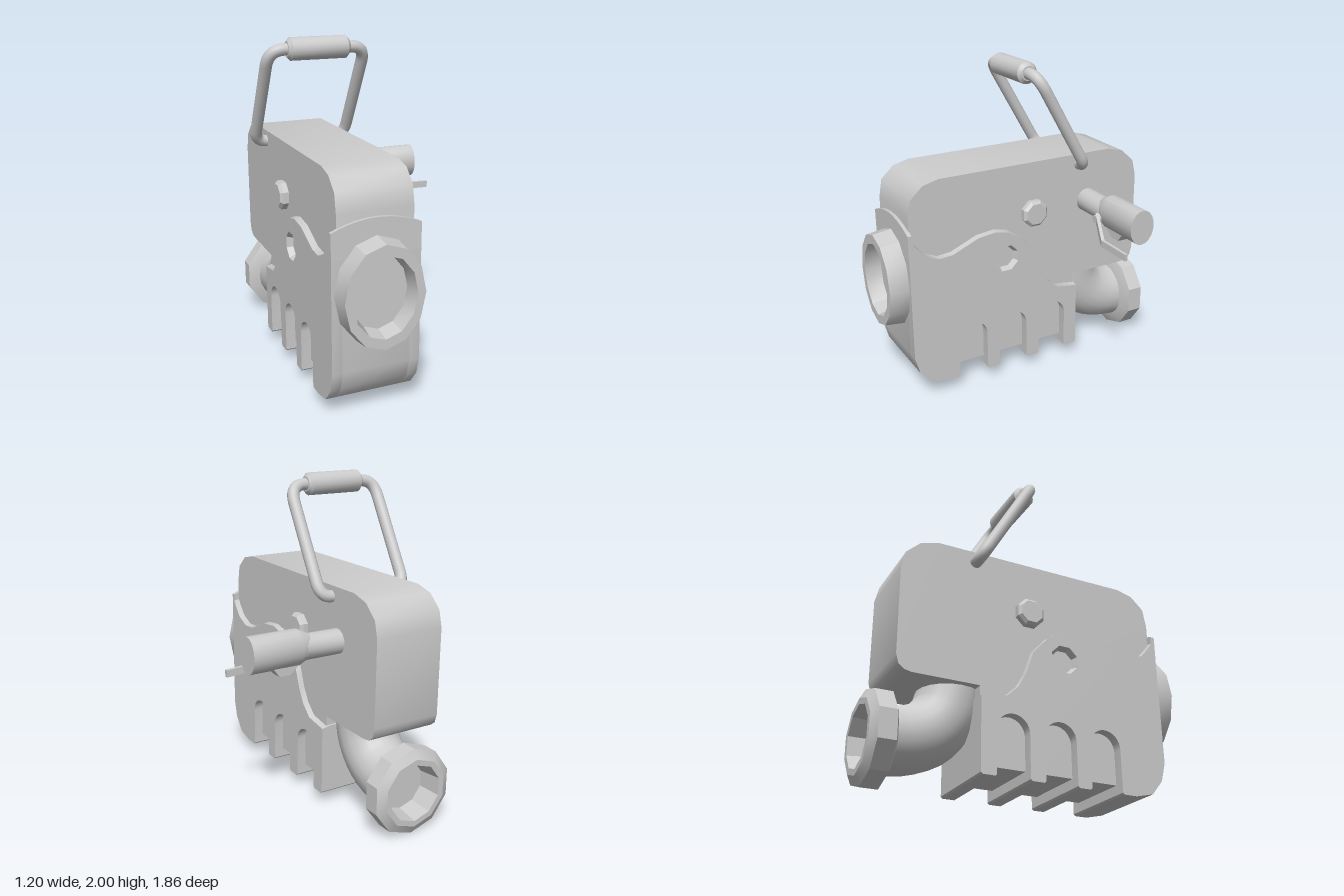
import * as THREE from 'three';
import { toCreasedNormals } from 'three/addons/utils/BufferGeometryUtils.js';

const CX = -0.27; // centre plane of the housing
const material = new THREE.MeshStandardMaterial({ color: 0xcccccc, side: THREE.DoubleSide });
const V = (x, y, z) => new THREE.Vector3(x, y, z);
const pts = (list) => list.map(([a, b]) => new THREE.Vector2(a, b));

// Extrude a (z, y) outline sideways between two x positions
function sideExtrude(shape, x0, x1) {
  return new THREE.ExtrudeGeometry(shape, { depth: x1 - x0, bevelEnabled: false, curveSegments: 8 })
    .rotateY(-Math.PI / 2).translate(x1, 0, 0);
}

// Wavy upper edge of the lower casing, front to back
const wave = [[0.81, 1.11], [0.77, 1.04], [0.71, 0.97], [0.62, 0.93], [0.53, 0.937], [0.44, 0.975],
  [0.36, 1.008], [0.24, 1.022], [0.15, 1.0], [0.06, 0.94], [-0.03, 0.84], [-0.08, 0.7],
  [-0.13, 0.61], [-0.2, 0.545], [-0.35, 0.522]];

// Lower casing outline; slots are either shallow notches or tall arches
function lowerShape(arched) {
  const s = new THREE.Shape(pts(wave));
  s.lineTo(-0.35, 0.09);
  s.lineTo(-0.34, 0.08);
  for (const c of [-0.16, 0.128, 0.412]) {
    const h = 0.098;
    s.lineTo(c - h - 0.01, 0.08);
    s.lineTo(c - h, 0.09);
    if (arched) {
      s.lineTo(c - h, 0.337);
      s.absarc(c, 0.337, h, Math.PI, 0, true);
    } else {
      s.lineTo(c - h, 0.145);
      s.lineTo(c + h, 0.145);
    }
    s.lineTo(c + h, 0.09);
    s.lineTo(c + h + 0.01, 0.08);
  }
  for (const [z, y] of [[0.6, 0.08], [0.71, 0.105], [0.78, 0.19], [0.81, 0.3]]) s.lineTo(z, y);
  return s;
}

// Square bar between two points
function bar(a, b, w, h) {
  const m = new THREE.Matrix4().lookAt(b, a, V(0, 1, 0));
  const mid = a.clone().add(b).multiplyScalar(0.5);
  return new THREE.BoxGeometry(w, h, a.distanceTo(b)).applyMatrix4(m).translate(mid.x, mid.y, mid.z);
}

export function createModel() {
  const model = new THREE.Group();
  const add = (name, geometry, crease = 0.5) => {
    const mesh = new THREE.Mesh(crease ? toCreasedNormals(geometry, crease) : geometry, material);
    mesh.name = name;
    model.add(mesh);
    return mesh;
  };

  // Upper housing block
  const upper = new THREE.Shape(pts([[0.79, 1.19], [0.77, 1.3], [0.69, 1.375], [0.59, 1.4],
    [-0.6, 1.4], [-0.71, 1.37], [-0.795, 1.29], [-0.82, 1.19], [-0.82, 0.67], [-0.805, 0.615],
    [-0.775, 0.59], [-0.73, 0.58], [-0.34, 0.58], [-0.34, 0.46], [0.79, 0.46]]));
  add('upperHousing', sideExtrude(upper, -0.492, -0.046), 0.65);

  // Lower casing core with full-width teeth
  add('lowerCore', sideExtrude(lowerShape(false), -0.47, -0.07), 0.6);

  // Side plates with arched pockets, an octagonal hole and a bevelled wavy edge
  for (const side of [-1, 1]) {
    const shape = lowerShape(true);
    const hole = new THREE.Path();
    for (let i = 0; i < 8; i++) {
      const a = (i + 0.5) * Math.PI / 4;
      hole[i ? 'lineTo' : 'moveTo'](0.17 + 0.088 * Math.cos(a), 0.82 + 0.088 * Math.sin(a));
    }
    shape.holes.push(hole);
    const outer = CX + side * 0.26, inner = CX + side * 0.2;
    const plate = sideExtrude(shape, Math.min(outer, inner), Math.max(outer, inner));
    const p = plate.attributes.position;
    for (let i = 0; i < p.count; i++) {
      const onWave = wave.some(([z, y]) => Math.hypot(p.getZ(i) - z, p.getY(i) - y) < 1e-4);
      if (onWave && Math.abs(p.getX(i) - outer) < 1e-4) p.setY(i, p.getY(i) - 0.012);
    }
    add('sidePlate', plate, 0.6);

    // Tapered lining of the hole
    const lining = new THREE.CylinderGeometry(0.088, 0.07, 0.036, 8, 1, true)
      .rotateY(Math.PI / 8).rotateZ(-side * Math.PI / 2);
    add('holeLining', lining).position.set(CX + side * 0.241, 0.82, 0.17);

    // Octagonal bolt head on the upper housing
    const bolt = new THREE.LatheGeometry(pts([[0.088, 0], [0.088, 0.035], [0.07, 0.052], [0, 0.052]]), 8)
      .rotateY(Math.PI / 8).rotateZ(-side * Math.PI / 2);
    add('boltHead', bolt).position.set(CX + side * 0.22, 1.075, -0.04);
  }

  // Crowned lip at the top of the casing front
  const lip = new THREE.Shape();
  lip.moveTo(-0.26, 0.95);
  lip.lineTo(0.26, 0.95);
  lip.lineTo(0.26, 1.1);
  lip.quadraticCurveTo(0, 1.215, -0.26, 1.1);
  add('frontLip', new THREE.ExtrudeGeometry(lip, { depth: 0.025, bevelEnabled: false }))
    .position.set(CX, 0, 0.786);

  // Oval front port, hollow
  const port = new THREE.LatheGeometry(pts([[0.31, 0], [0.295, 0.12], [0.235, 0.12], [0.215, 0.02], [0, 0.02]]), 12)
    .rotateX(Math.PI / 2).scale(0.79, 1, 1);
  add('frontPort', port).position.set(CX, 0.75, 0.81);

  // Rear elbow pipe
  const elbow = new THREE.CatmullRomCurve3([V(CX, 0.27, -0.79), V(CX, 0.288, -0.67),
    V(CX, 0.345, -0.55), V(CX, 0.45, -0.465), V(CX, 0.62, -0.42)]);
  add('elbowPipe', new THREE.TubeGeometry(elbow, 12, 0.185, 20), 0);

  // Flanged pipe mouth, hollow, facing back
  const mouth = new THREE.LatheGeometry(pts([[0, 0], [0.19, 0], [0.265, 0.03], [0.265, 0.13], [0.21, 0.16],
    [0.175, 0.16], [0.155, 0.02], [0, 0.02]]), 10).rotateX(-Math.PI / 2);
  add('pipeMouth', mouth).position.set(CX, 0.27, -0.77);

  // Carrying handle: rounded rod loop leaning forward, with a grip
  const low = [1.335, -0.375], high = [1.935, -0.03];
  const at = (dx, t) => V(CX + dx, low[0] + (high[0] - low[0]) * t, low[1] + (high[1] - low[1]) * t);
  const rod = new THREE.CurvePath();
  const bend = (a, b, c) => rod.add(new THREE.QuadraticBezierCurve3(a, b, c));
  rod.add(new THREE.LineCurve3(at(-0.2, 0), at(-0.22, 0)));
  bend(at(-0.22, 0), at(-0.298, 0), at(-0.298, 0.13));
  rod.add(new THREE.LineCurve3(at(-0.298, 0.13), at(-0.298, 0.84)));
  bend(at(-0.298, 0.84), at(-0.298, 1), at(-0.2, 1));
  rod.add(new THREE.LineCurve3(at(-0.2, 1), at(0.2, 1)));
  bend(at(0.2, 1), at(0.298, 1), at(0.298, 0.84));
  rod.add(new THREE.LineCurve3(at(0.298, 0.84), at(0.298, 0.13)));
  bend(at(0.298, 0.13), at(0.298, 0), at(0.22, 0));
  rod.add(new THREE.LineCurve3(at(0.22, 0), at(0.2, 0)));
  add('handleRod', new THREE.TubeGeometry(rod, 120, 0.036, 12), 0);
  const grip = new THREE.LatheGeometry(pts([[0, -0.19], [0.045, -0.19], [0.067, -0.17], [0.067, 0.17],
    [0.045, 0.19], [0, 0.19]]), 16).rotateZ(-Math.PI / 2);
  add('handleGrip', grip).position.set(CX, 1.935, -0.03);

  // Valve: round stem flaring into an oval barrel on the left side
  const stem = new THREE.CylinderGeometry(0.075, 0.075, 0.25, 16).rotateZ(-Math.PI / 2);
  add('valveStem', stem).position.set(0.07, 1.085, -0.44);
  const barrel = new THREE.LatheGeometry(pts([[0, 0.16], [0.075, 0.16], [0.108, 0.23], [0.108, 0.54], [0, 0.54]]), 20)
    .rotateZ(-Math.PI / 2).scale(1, 1, 0.78);
  add('valveBarrel', barrel).position.set(0, 1.092, -0.44);

  // Wedge under the barrel
  const wedge = new THREE.Shape(pts([[0.2, 1.03], [0.29, 0.95], [0.36, 0.95], [0.42, 1.03]]));
  add('valveWedge', new THREE.ExtrudeGeometry(wedge, { depth: 0.08, bevelEnabled: false }))
    .position.set(0, 0, -0.48);

  // Bent lever with its pivot
  const path = [V(0.2, 1.075, -0.35), V(0.37, 0.965, -0.28), V(0.595, 0.955, -0.29)];
  for (let i = 0; i < 2; i++) add('valveLever', bar(path[i], path[i + 1], 0.02, 0.042));
  const pivot = new THREE.CylinderGeometry(0.025, 0.025, 0.05, 10).rotateX(Math.PI / 2);
  add('leverPivot', pivot).position.set(0.215, 1.06, -0.35);

  return model;
}
